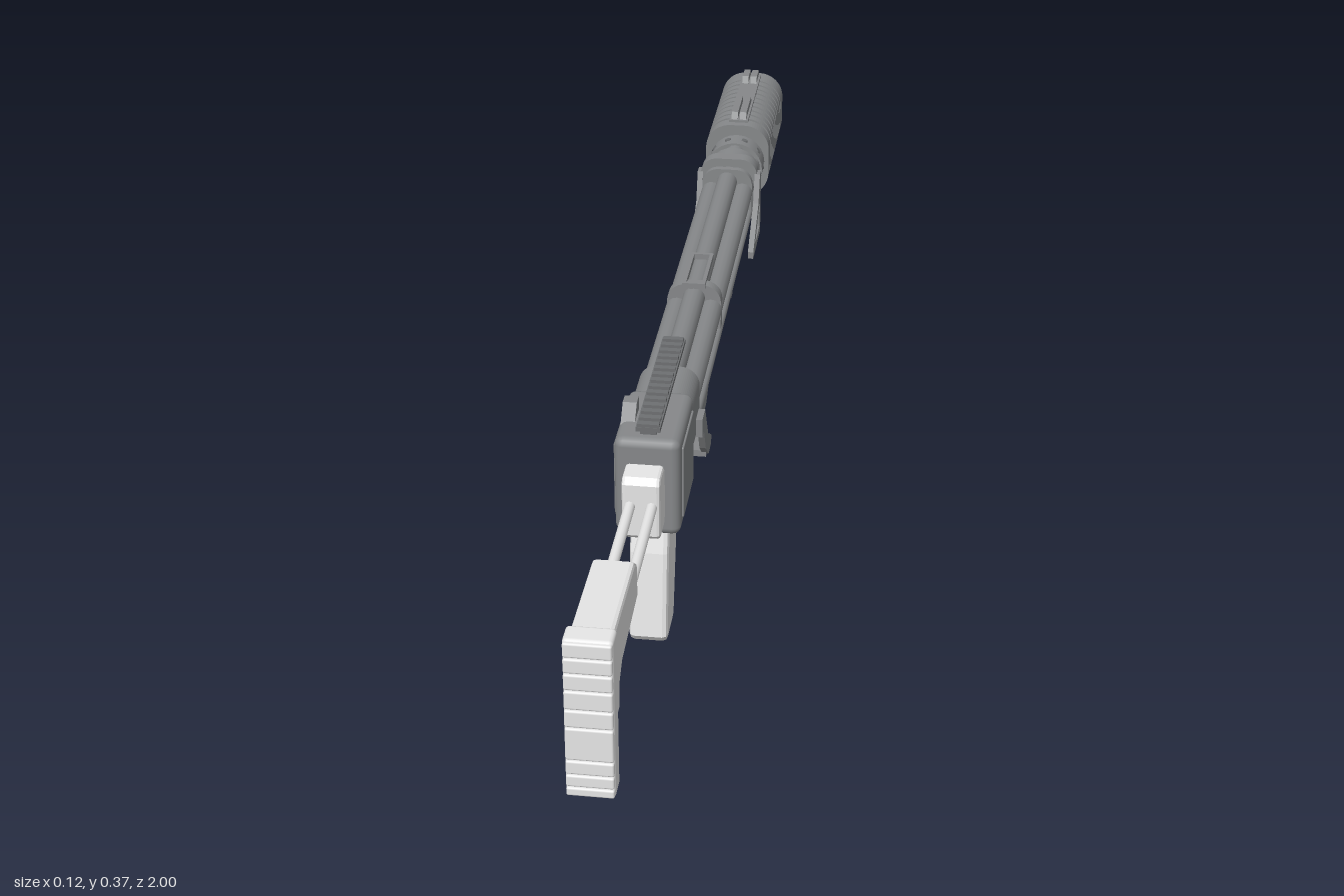
import * as THREE from 'three';
import { RoundedBoxGeometry } from 'three/addons/geometries/RoundedBoxGeometry.js';

const mat = (name, color) => Object.assign(new THREE.MeshStandardMaterial({ color }), { name });

export function createModel() {
  const light = mat('light grey', 0xe8e8e8);
  const grey = mat('gunmetal', 0x86888a);
  const dark = mat('dark metal', 0x6e7072);
  const root = new THREE.Group();
  const AXIS = 0.284; // height of the barrel axis

  const add = (name, geo, m, x = 0, y = 0, z = 0) => {
    const mesh = new THREE.Mesh(geo, m);
    mesh.name = name;
    mesh.position.set(x, y, z);
    root.add(mesh);
    return mesh;
  };
  // box given by its limits in x, y and z, optionally rounded
  const box = (name, m, x0, x1, y0, y1, z0, z1, r = 0) => {
    const s = [x1 - x0, y1 - y0, z1 - z0];
    const geo = r ? new RoundedBoxGeometry(...s, 2, r) : new THREE.BoxGeometry(...s);
    return add(name, geo, m, (x0 + x1) / 2, (y0 + y1) / 2, (z0 + z1) / 2);
  };
  // cylinder along z
  const rod = (name, m, x, y, z0, z1, r, sides = 16) =>
    add(name, new THREE.CylinderGeometry(r, r, z1 - z0, sides).rotateX(Math.PI / 2), m, x, y, (z0 + z1) / 2);
  const toShape = (pts) => new THREE.Shape(pts.map((p) => new THREE.Vector2(...p)));
  // side outline in [z, y], extruded across x
  const plate = (name, m, pts, width, x = 0, holes = [], bevel = 0) => {
    const shape = toShape(pts);
    holes.forEach((h) => shape.holes.push(toShape(h)));
    const depth = width - 2 * bevel;
    const geo = new THREE.ExtrudeGeometry(shape, {
      depth, bevelEnabled: bevel > 0, bevelSize: bevel, bevelThickness: bevel, bevelOffset: -bevel, bevelSegments: 2,
    });
    return add(name, geo.translate(0, 0, -depth / 2).rotateY(-Math.PI / 2), m, x);
  };
  // rounded cross-section around the barrel axis, extruded along z
  const section = (name, m, w, h, r, z0, z1, holes = []) => {
    const s = new THREE.Shape();
    s.moveTo(w, -h + r);
    [[w, h, 0], [-w, h, 1], [-w, -h, 2], [w, -h, 3]].forEach(([cx, cy, q]) =>
      s.absarc(cx - Math.sign(cx) * r, cy - Math.sign(cy) * r, r, q * Math.PI / 2, (q + 1) * Math.PI / 2));
    holes.forEach(([x, y, hr]) => s.holes.push(new THREE.Path().absarc(x, y, hr, 0, Math.PI * 2, true)));
    const geo = new THREE.ExtrudeGeometry(s, { depth: z1 - z0, bevelEnabled: false, curveSegments: 8 });
    return add(name, geo, m, 0, AXIS, z0);
  };
  const both = (fn) => [-1, 1].forEach(fn);

  // Stock: arm, leg strut leaving a slot, ridged butt pad
  plate('stockArm', light, [[0.762, 0.272], [0.762, 0.325], [0.785, 0.341], [0.975, 0.347], [0.975, 0.205],
    [0.927, 0.205], [0.92, 0.245], [0.9, 0.26]], 0.058, 0, [], 0.006);
  box('stockLegStrut', light, -0.027, 0.027, 0.12, 0.215, 0.93, 0.943, 0.004);
  box('stockLegFoot', light, -0.027, 0.027, 0.116, 0.138, 0.93, 0.975, 0.004);
  box('buttPad', light, -0.033, 0.033, 0.11, 0.356, 0.96, 0.996, 0.006);
  const cuts = [0.112, 0.127, 0.147, 0.17, 0.222, 0.25, 0.28, 0.306, 0.33, 0.354];
  cuts.slice(1).forEach((y, i) => box('buttRidge', light, -0.032, 0.032, cuts[i] + 0.001, y - 0.001, 0.985, 1, 0.003));

  // Twin stock rods and their mount
  both((s) => rod('stockRod', light, s * 0.016, 0.277, 0.47, 0.78, 0.008));
  plate('stockMount', light, [[0.486, 0.232], [0.486, 0.31], [0.499, 0.322], [0.535, 0.322], [0.543, 0.312],
    [0.543, 0.228], [0.535, 0.22], [0.497, 0.22]], 0.056, 0, [], 0.005);
  box('mountNeck', grey, -0.025, 0.025, 0.235, 0.31, 0.475, 0.49);

  // Receiver with raised side panels
  box('receiver', grey, -0.049, 0.049, 0.19, 0.35, 0.322, 0.48, 0.013);
  both((s) => box('sidePanel', grey, s * 0.05 - 0.002, s * 0.05 + 0.002, 0.212, 0.33, 0.344, 0.459, 0.0018));
  section('receiverCollar', grey, 0.047, 0.06, 0.03, 0.235, 0.325);
  add('panelPin', new THREE.CylinderGeometry(0.007, 0.007, 0.006, 12).rotateZ(Math.PI / 2), grey, -0.053, 0.3, 0.38);

  // Top rail and offset sight
  box('railBase', dark, -0.012, 0.012, 0.345, 0.362, 0.25, 0.46);
  box('topRail', dark, -0.018, 0.018, 0.357, 0.364, 0.18, 0.465);
  for (let i = 0; i < 15; i++) {
    const z = 0.184 + i * 0.0193;
    box('railTooth', dark, -0.016, 0.016, 0.363, 0.369, z, z + 0.01);
  }
  plate('offsetSight', grey, [[0.385, 0.34], [0.385, 0.371], [0.405, 0.371], [0.435, 0.34]], 0.021, -0.0355);

  // Grip, trigger and guard
  plate('grip', light, [[0.34, 0.195], [0.455, 0.195], [0.468, 0.15], [0.486, 0.012], [0.478, 0.001], [0.415, 0.001],
    [0.405, 0.01], [0.372, 0.13]], 0.059, 0, [], 0.008);
  plate('triggerGuard', grey, [[0.235, 0.195], [0.262, 0.13], [0.385, 0.13], [0.385, 0.138], [0.268, 0.138], [0.247, 0.195]], 0.024);
  plate('trigger', grey, [[0.315, 0.195], [0.335, 0.195], [0.328, 0.172], [0.314, 0.155], [0.309, 0.158], [0.318, 0.175]], 0.012);

  // Five barrels around a central one
  const ring = [[0, 0]];
  for (let i = 0; i < 5; i++) {
    const a = Math.PI / 2 + i * Math.PI * 0.4;
    ring.push([Math.cos(a) * 0.03, Math.sin(a) * 0.03]);
  }
  ring.forEach(([x, y], i) => rod(i ? 'barrel' : 'centreBarrel', grey, x, AXIS + y, -0.73, 0.3, i ? 0.0185 : 0.015));

  // Barrel band with a small top loop
  section('barrelBand', grey, 0.045, 0.053, 0.03, -0.085, -0.065);
  both((s) => box('topLoopBar', grey, s * 0.016 - 0.003, s * 0.016 + 0.003, 0.332, 0.342, -0.18, -0.06));
  [-0.18, -0.066].forEach((z) => box('topLoopEnd', grey, -0.019, 0.019, 0.332, 0.342, z, z + 0.006));

  // Front clamps and neck
  section('frontClamp', grey, 0.052, 0.063, 0.03, -0.602, -0.576);
  section('rearClampRing', grey, 0.046, 0.054, 0.03, -0.56, -0.548);
  rod('neckRing', grey, 0, AXIS, -0.662, -0.632, 0.05, 24);
  rod('neckCollar', grey, 0, AXIS, -0.725, -0.678, 0.052, 24);
  for (let i = 0; i < 10; i++) {
    const a = i * Math.PI / 5;
    const dot = add('collarHole', new THREE.CylinderGeometry(0.006, 0.006, 0.004, 10), dark,
      Math.cos(a) * 0.051, AXIS + Math.sin(a) * 0.051, -0.7);
    dot.rotation.z = a - Math.PI / 2;
  }

  // Muzzle shroud: core with shallow ribs, drilled face, top spine and split fins
  section('muzzleCore', grey, 0.0565, 0.068, 0.044, -0.985, -0.722);
  section('muzzleRear', grey, 0.06, 0.0715, 0.047, -0.748, -0.72);
  for (let i = 0; i < 9; i++) {
    const z = -0.772 - i * 0.0225;
    section('muzzleRib', grey, 0.06, 0.0715, 0.047, z, z + 0.0165);
  }
  section('muzzleFace', grey, 0.06, 0.0715, 0.047, -1, -0.957, ring.map(([x, y]) => [x * 1.15, y * 1.15, 0.0115]));
  box('muzzleSpine', grey, -0.018, 0.018, 0.348, 0.36, -0.985, -0.735);
  both((s) => [[-0.84, -0.735], [-0.985, -0.925]].forEach(([a, b]) =>
    plate('muzzleFin', grey, [[a, 0.355], [a + 0.012, 0.372], [b - 0.012, 0.372], [b, 0.355]], 0.012, s * 0.008)));

  // Lower frame under the barrels
  box('lowerSpine', grey, -0.022, 0.022, 0.212, 0.245, -0.575, 0.26);
  box('rearUnderside', grey, -0.036, 0.036, 0.193, 0.215, 0.08, 0.33);
  plate('frontUnderside', grey, [[-0.33, 0.222], [-0.36, 0.197], [-0.59, 0.197], [-0.59, 0.207], [-0.47, 0.215], [-0.45, 0.222]], 0.07);
  both((s) => {
    // slotted side guard
    plate('sideGuard', grey, [[0.13, 0.178], [0.05, 0.178], [0.0, 0.205], [-0.29, 0.213], [-0.315, 0.192], [-0.335, 0.192],
      [-0.335, 0.215], [-0.29, 0.245], [0.02, 0.245], [0.085, 0.192], [0.13, 0.192]], 0.012, s * 0.029,
    [[[0.0, 0.221], [-0.13, 0.221], [-0.13, 0.235], [0.015, 0.235]], [[-0.15, 0.221], [-0.28, 0.221], [-0.28, 0.235], [-0.15, 0.235]]]);
    // diagonal braces at both ends
    plate('rearBrace', grey, [[0.32, 0.3], [0.285, 0.3], [0.245, 0.235], [0.205, 0.21], [0.205, 0.195], [0.24, 0.195],
      [0.275, 0.225], [0.3, 0.27], [0.32, 0.27]], 0.01, s * 0.057);
    plate('frontBrace', grey, [[-0.595, 0.32], [-0.575, 0.32], [-0.555, 0.27], [-0.47, 0.21], [-0.47, 0.197], [-0.595, 0.197]],
      0.01, s * 0.053, [[[-0.582, 0.212], [-0.505, 0.212], [-0.565, 0.258], [-0.582, 0.258]]]);
    box('braceFoot', grey, s * 0.045 - 0.014, s * 0.045 + 0.014, 0.195, 0.206, 0.195, 0.25);
    rod('sideTube', grey, s * 0.04, 0.252, -0.57, 0.25, 0.007, 10);
  });
  add('sideKnob', new THREE.CylinderGeometry(0.016, 0.016, 0.024, 16).rotateZ(Math.PI / 2), grey, -0.048, 0.222, 0.14);

  // Toothed rail below
  box('lowerRail', dark, -0.018, 0.018, 0.174, 0.186, -0.33, 0.11);
  for (let i = 0; i < 20; i++) {
    const z = -0.33 + i * 0.0225;
    box('lowerRailTooth', dark, -0.02, 0.02, 0.165, 0.176, z, z + 0.0125);
  }
  [-0.3, -0.1, 0.07].forEach((z) => box('railPost', grey, -0.014, 0.014, 0.18, 0.22, z, z + 0.03));
  return root;
}
